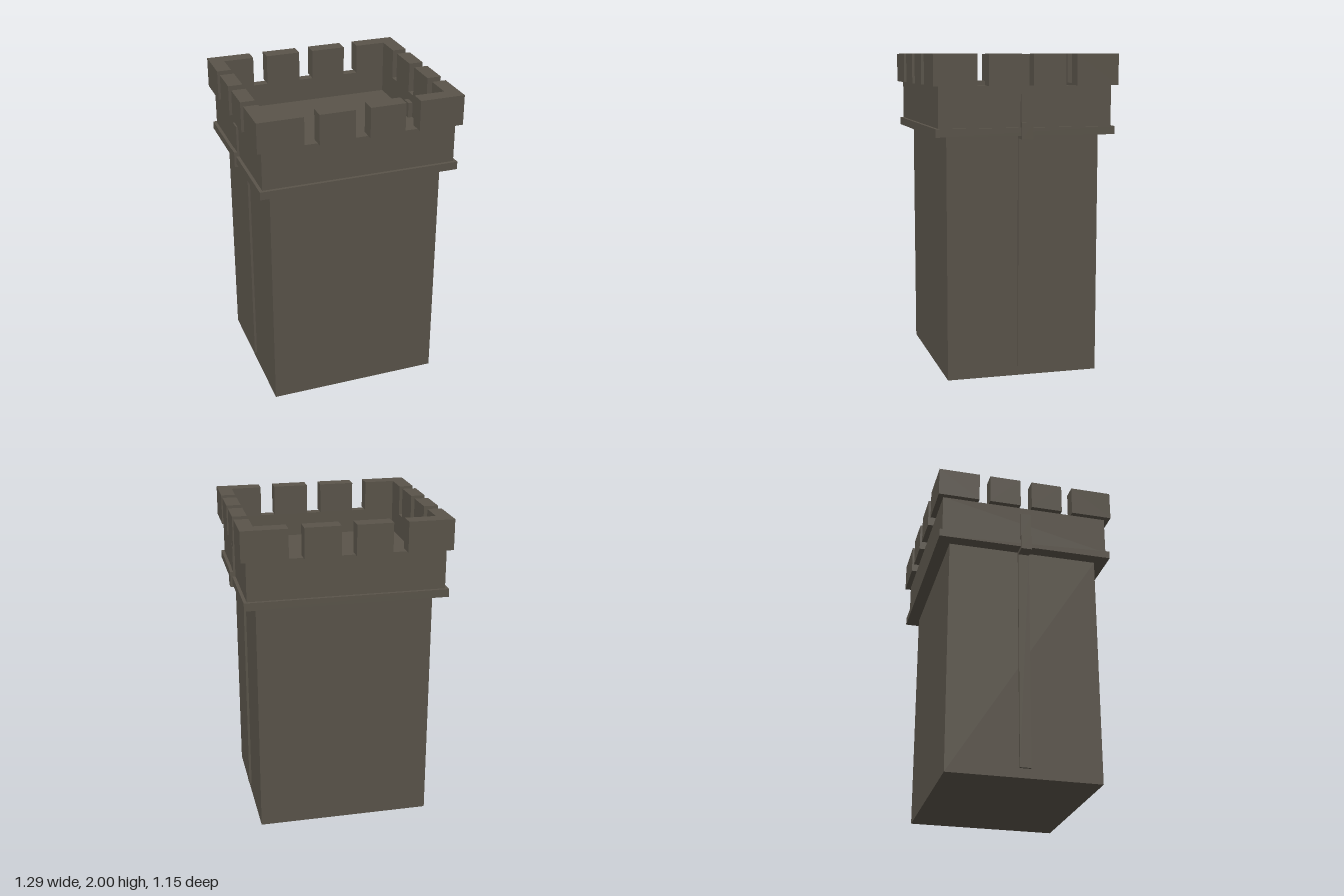
import * as THREE from 'three';

const stone = new THREE.MeshStandardMaterial({ color: 0x5a544a, flatShading: true });

export function createModel() {
  const tower = new THREE.Group();
  tower.name = 'tower';

  const add = (name, geometry, parent = tower) => {
    const mesh = new THREE.Mesh(geometry, stone);
    mesh.name = name;
    parent.add(mesh);
    return mesh;
  };

  // Box given by its lower and upper limits on each axis
  const block = (name, x0, x1, y0, y1, z0, z1, parent) => {
    const mesh = add(name, new THREE.BoxGeometry(x1 - x0, y1 - y0, z1 - z0), parent);
    mesh.position.set((x0 + x1) / 2, (y0 + y1) / 2, (z0 + z1) / 2);
    return mesh;
  };

  // Plan outline raised from y0 to y1
  const raise = (shape, y0, y1) =>
    new THREE.ExtrudeGeometry(shape, { depth: y1 - y0, bevelEnabled: false })
      .rotateX(-Math.PI / 2).translate(0, y0, 0);
  const rect = (x, z) => [[-x, -z], [x, -z], [x, z], [-x, z]].map(p => new THREE.Vector2(...p));

  const inX = 0.553, inZ = 0.48;    // inside of the parapet
  const outX = 0.643, outZ = 0.575; // outside of the merlons

  // Shaft and projecting string course
  block('shaft', -0.55, 0.55, 0, 1.51, -0.48, 0.48);
  block('stringCourse', -0.63, 0.63, 1.51, 1.56, -0.56, 0.56);

  // Parapet wall around the sunken roof floor
  const wall = new THREE.Shape(rect(0.61, 0.54));
  wall.holes.push(new THREE.Path(rect(inX, inZ)));
  add('parapetWall', raise(wall, 1.56, 1.81));
  block('roofFloor', -inX, inX, 1.56, 1.66, -inZ, inZ);

  // Merlons: L-shaped at the corners, two straight ones along each side
  const merlons = new THREE.Group();
  merlons.name = 'merlons';
  tower.add(merlons);
  for (const sx of [-1, 1]) {
    for (const sz of [-1, 1]) {
      const corner = [[0.36, inZ], [inX, inZ], [inX, 0.31], [outX, 0.31], [outX, outZ], [0.36, outZ]]
        .map(([x, z]) => new THREE.Vector2(sx * x, sz * z));
      add('cornerMerlon', raise(new THREE.Shape(corner), 1.81, 2), merlons);

      const front = block('merlon', 0.046, 0.268, 1.81, 2, inZ, outZ, merlons);
      front.position.x *= sx;
      front.position.z *= sz;
      const side = block('merlon', inX, outX, 1.81, 2, 0.037, 0.24, merlons);
      side.position.x *= sx;
      side.position.z *= sz;
    }
  }

  // Narrow pilaster strip up the middle of each flank, stepping over the string course
  for (const sx of [-1, 1]) {
    const strip = new THREE.Group();
    strip.name = sx > 0 ? 'leftStrip' : 'rightStrip';
    tower.add(strip);
    for (const [name, y0, y1, x] of [
      ['lowerStrip', 0.06, 1.49, 0.565],
      ['stripCollar', 1.49, 1.59, 0.643],
      ['upperStrip', 1.59, 1.76, 0.624],
    ]) {
      block(name, x - 0.1, x, y0, y1, -0.035, 0.035, strip).position.x *= sx;
    }
  }

  return tower;
}
